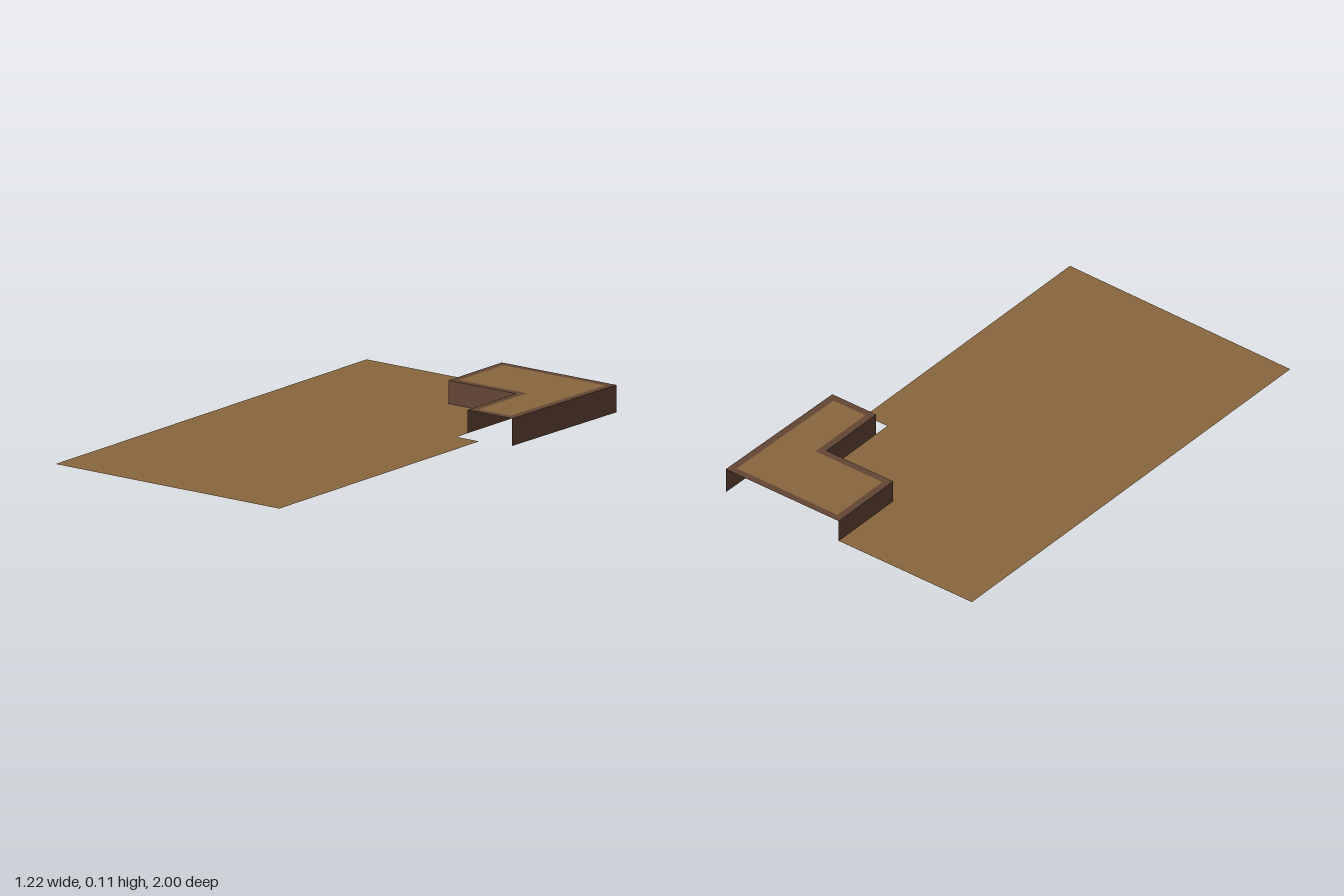
import * as THREE from 'three';

const GROUND_Y = 0.016, ROOF_Y = 0.11;

// Outlines as [x, z] corners
const groundOutline = [[-0.61, -1], [0.05, -1], [0.05, -0.66], [0.38, -0.66],
  [0.38, -0.28], [0.49, -0.28], [0.49, 1], [-0.61, 0.99]];
const roofOutline = [[0.05, -1], [0.61, -1], [0.597, -0.35], [0.38, -0.35], [0.38, -0.66], [0.05, -0.66]];
const panelOutline = [[0.08, -0.97], [0.58, -0.97], [0.567, -0.38], [0.41, -0.38], [0.41, -0.69], [0.08, -0.69]];

function material(name, color) {
  const m = new THREE.MeshStandardMaterial({ color, side: THREE.DoubleSide });
  m.name = name;
  return m;
}

export function createModel() {
  const group = new THREE.Group();
  const earth = material('tan earth', 0x88673f);
  const wood = material('dark brown', 0x634635);

  const add = (name, geometry, mat) => {
    const mesh = new THREE.Mesh(geometry, mat);
    mesh.name = name;
    group.add(mesh);
  };
  const points = (outline) => outline.map(([x, z]) => new THREE.Vector2(x, -z));

  // Horizontal sheet facing up, with an optional opening
  const sheet = (name, outline, y, mat, opening) => {
    const shape = new THREE.Shape(points(outline));
    if (opening) shape.holes.push(new THREE.Path(points(opening)));
    add(name, new THREE.ShapeGeometry(shape).rotateX(-Math.PI / 2).translate(0, y, 0), mat);
  };

  // Upright sheet from a to b; its front lies to the right of the path
  const wall = (name, a, b, bottom) => {
    const length = Math.hypot(b[0] - a[0], b[1] - a[1]);
    const g = new THREE.PlaneGeometry(length, ROOF_Y - bottom);
    g.rotateY(-Math.atan2(b[1] - a[1], b[0] - a[0]));
    g.translate((a[0] + b[0]) / 2, (ROOF_Y + bottom) / 2, (a[1] + b[1]) / 2);
    add(name, g, wood);
  };

  sheet('ground', groundOutline, GROUND_Y, earth);
  sheet('roofRim', roofOutline, ROOF_Y, wood, panelOutline);
  sheet('roofPanel', panelOutline, ROOF_Y, earth);

  // Walls stand on the outer long side and the courtyard sides; the ends stay open
  const r = roofOutline;
  wall('outerWall', r[2], r[1], 0);
  wall('innerSideWall', r[4], r[3], GROUND_Y);
  wall('innerFrontWall', r[5], r[4], GROUND_Y);
  wall('farSideWall', r[0], r[5], GROUND_Y);

  return group;
}
